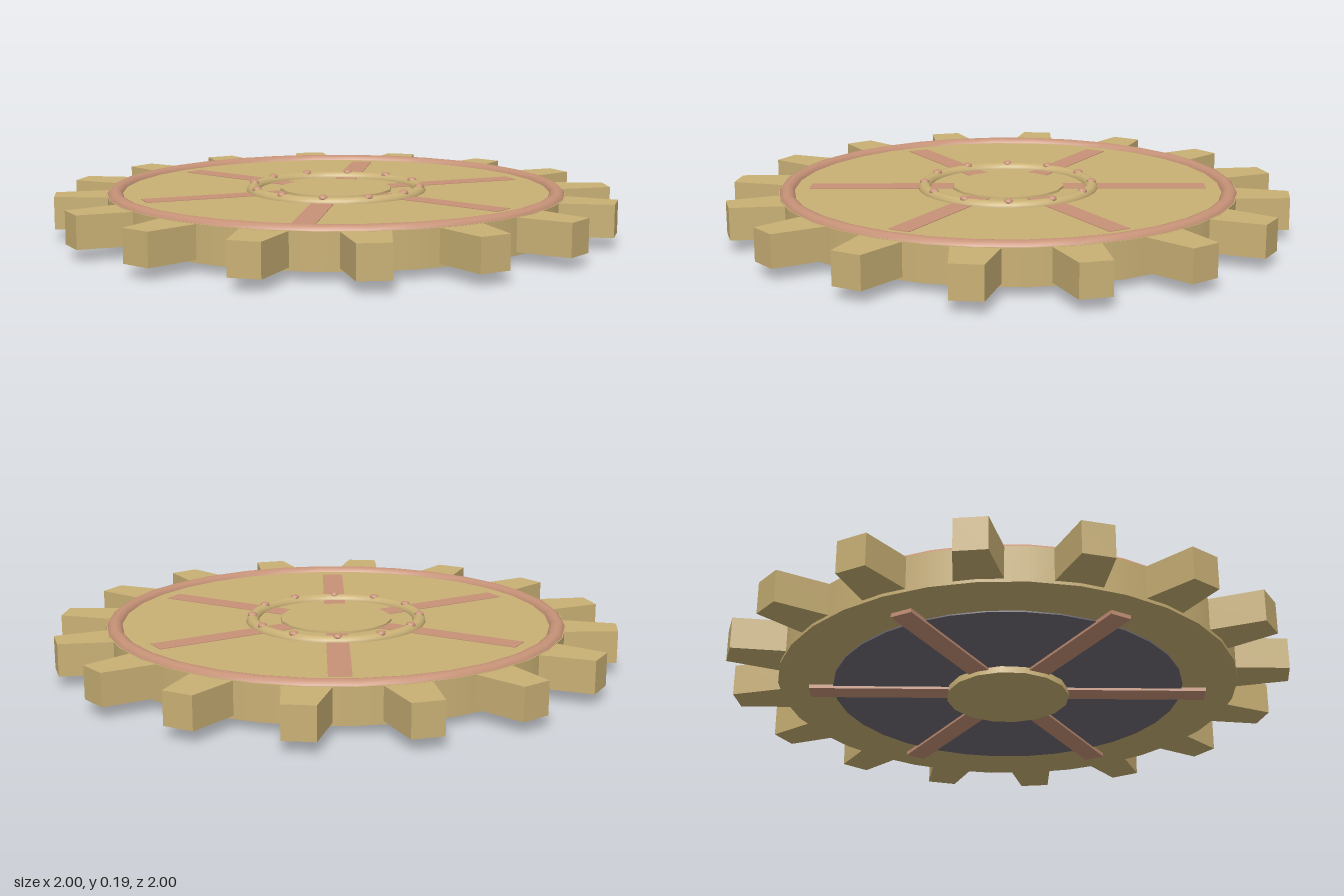
import * as THREE from 'three';

export function createModel() {
  const root = new THREE.Group();
  root.name = 'gear';

  const mat = (name, color) => {
    const m = new THREE.MeshStandardMaterial({ color });
    m.name = name;
    return m;
  };
  const brass = mat('brass', 0xc9b075);
  const copper = mat('copper', 0xc69277);
  const iron = mat('dark iron', 0x706b76);

  const add = (name, geometry, material, parent = root) => {
    const mesh = new THREE.Mesh(geometry, material);
    mesh.name = name;
    parent.add(mesh);
    return mesh;
  };
  // Upright disc between two heights
  const disc = (rTop, rBottom, y0, y1, sides) =>
    new THREE.CylinderGeometry(rTop, rBottom, y1 - y0, sides).translate(0, (y0 + y1) / 2, 0);
  // Ring lying flat at height y
  const ring = (radius, tube, y, sides) =>
    new THREE.TorusGeometry(radius, tube, 12, sides).rotateX(Math.PI / 2).translate(0, y, 0);
  // Copies of one part spaced evenly around the axle
  const around = (name, count, geometry, material) => {
    const group = new THREE.Group();
    group.name = name + 's';
    root.add(group);
    for (let i = 0; i < count; i++) {
      add(name, geometry, material, group).rotation.y = (i / count) * Math.PI * 2;
    }
  };

  // Wheel body and the dark plate under it
  add('wheelBody', disc(0.82, 0.82, 0.03, 0.157, 32), brass);
  add('backPlate', disc(0.625, 0.625, 0.025, 0.15, 32), iron);

  // Tapered teeth
  const profile = new THREE.Shape([
    new THREE.Vector2(0.76, -0.088),
    new THREE.Vector2(1, -0.055),
    new THREE.Vector2(1, 0.055),
    new THREE.Vector2(0.76, 0.088),
  ]);
  const tooth = new THREE.ExtrudeGeometry(profile, { depth: 0.115, bevelEnabled: false })
    .rotateX(-Math.PI / 2)
    .translate(0, 0.041, 0);
  around('tooth', 16, tooth, brass);

  // Spokes reach through the wheel and show on both faces
  const spoke = new THREE.BoxGeometry(0.56, 0.143, 0.078).translate(0.43, 0.0875, 0);
  around('spoke', 6, spoke, copper);

  // Rim and hub rings
  add('rimRing', ring(0.79, 0.03, 0.145, 32), copper);
  add('hubRing', ring(0.3, 0.024, 0.154, 32), brass);

  // Hub, slightly wider below
  add('hub', disc(0.2, 0.22, 0, 0.165, 16), brass);

  // Rivets on the hub ring
  const rivet = new THREE.SphereGeometry(0.017, 10, 8).scale(1, 0.7, 1).translate(0.3, 0.174, 0);
  around('rivet', 12, rivet, copper);

  return root;
}
